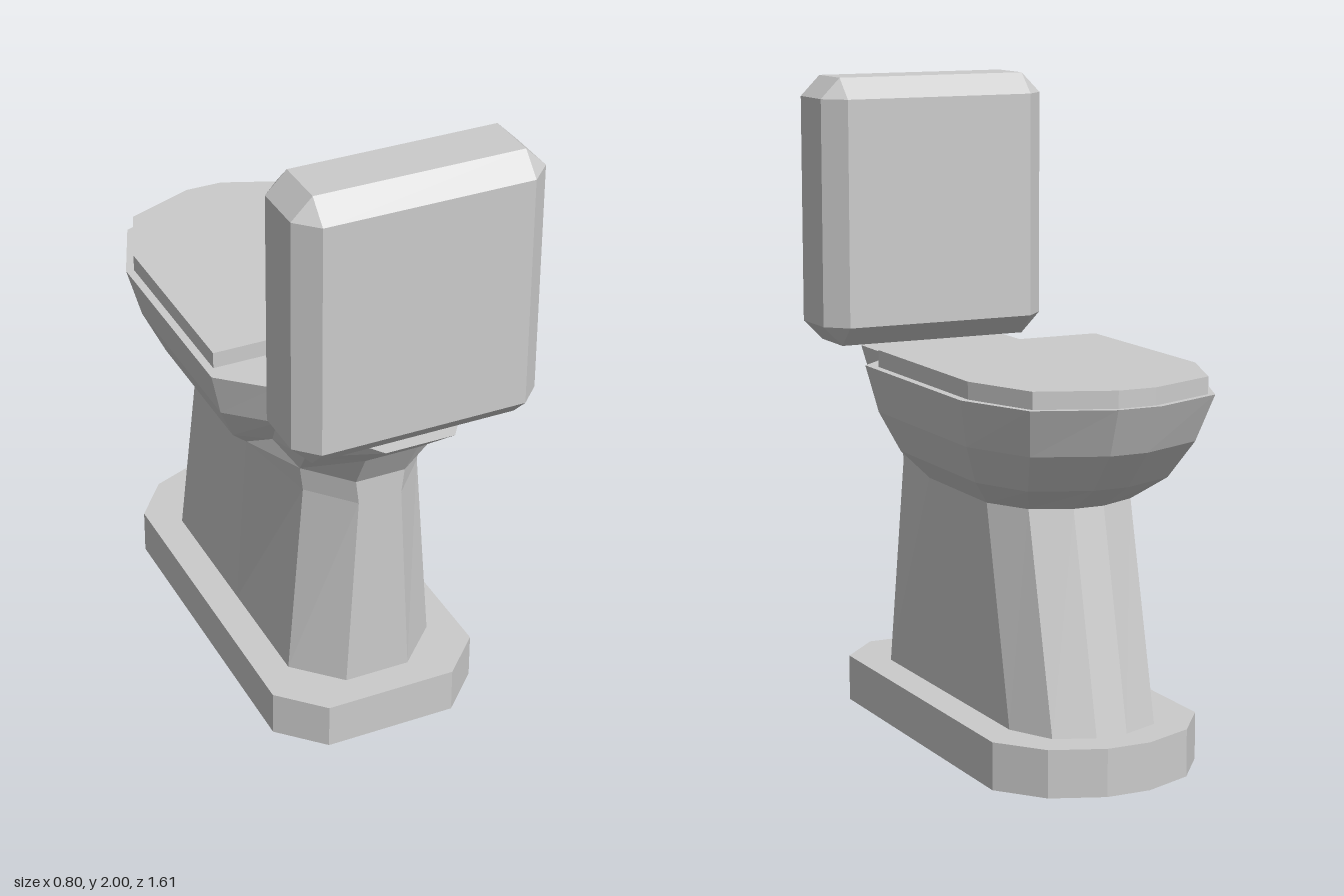
import * as THREE from 'three';

const material = new THREE.MeshStandardMaterial({ color: 0xcccccc, flatShading: true });

// Complete a half outline of [x, z] points (back to front) by mirroring it in x.
const mirror = (half) => [...half, ...half.map(([x, z]) => [-x, z]).reverse()];

// Closed solid through horizontal sections, each { y, half }, from bottom to top.
function loft(name, sections) {
  const rows = sections.map(({ y, half }) =>
    mirror(half).map(([x, z]) => new THREE.Vector3(x, y, z)));
  const positions = [];
  const triangle = (a, b, c) => {
    const area = b.clone().sub(a).cross(c.clone().sub(a)).length();
    if (area > 1e-7) for (const p of [a, b, c]) positions.push(p.x, p.y, p.z);
  };
  for (let r = 0; r < rows.length - 1; r++) {
    const low = rows[r], high = rows[r + 1], n = low.length;
    for (let i = 0; i < n; i++) {
      const j = (i + 1) % n;
      triangle(low[i], low[j], high[j]);
      triangle(low[i], high[j], high[i]);
    }
  }
  const cap = (row, up) => {
    const flat = row.map((p) => new THREE.Vector2(p.x, -p.z));
    for (const [a, b, c] of THREE.ShapeUtils.triangulateShape(flat, [])) {
      if (up) triangle(row[a], row[b], row[c]);
      else triangle(row[a], row[c], row[b]);
    }
  };
  cap(rows[0], false);
  cap(rows[rows.length - 1], true);
  const geometry = new THREE.BufferGeometry();
  geometry.setAttribute('position', new THREE.Float32BufferAttribute(positions, 3));
  geometry.computeVertexNormals();
  const mesh = new THREE.Mesh(geometry, material);
  mesh.name = name;
  return mesh;
}

// Straight-sided slab with one outline.
const slab = (name, y0, y1, half) => loft(name, [{ y: y0, half }, { y: y1, half }]);

export function createModel() {
  const group = new THREE.Group();
  group.name = 'toilet';

  // Foot plate
  group.add(slab('base', 0, 0.145,
    [[0.21, 0.63], [0.34, 0.5], [0.34, -0.55], [0.23, -0.69], [0.07, -0.755]]));

  // Pedestal flaring into the bowl, with a neck reaching back under the tank
  const pedestalTop = [[0.07, 0.53], [0.19, 0.395], [0.24, 0.09], [0.24, 0.09],
    [0.24, -0.31], [0.17, -0.445], [0.05, -0.5]];
  group.add(loft('pedestal', [
    { y: 0.145, half: [[0.105, 0.53], [0.24, 0.395], [0.24, 0], [0.24, 0],
      [0.24, -0.46], [0.17, -0.6], [0.05, -0.65]] },
    { y: 0.8, half: pedestalTop },
  ]));
  group.add(loft('bowl', [
    { y: 0.8, half: pedestalTop },
    { y: 0.88, half: [[0.08, 0.53], [0.2, 0.395], [0.21, 0.22], [0.31, 0.15],
      [0.31, -0.38], [0.23, -0.56], [0.055, -0.635]] },
    { y: 1.0, half: [[0.085, 0.6], [0.235, 0.51], [0.235, 0.31], [0.365, 0.19],
      [0.365, -0.435], [0.27, -0.65], [0.06, -0.74]] },
    { y: 1.145, half: [[0.11, 0.78], [0.255, 0.575], [0.255, 0.34], [0.4, 0.21],
      [0.4, -0.47], [0.3, -0.71], [0.07, -0.805]] },
  ]));

  // Closed lid and its hinge bar
  group.add(slab('lid', 1.145, 1.197,
    [[0.375, 0.165], [0.375, -0.465], [0.285, -0.695], [0.06, -0.787]]));
  const hinge = new THREE.Mesh(new THREE.BoxGeometry(0.32, 0.035, 0.04), material);
  hinge.name = 'hinge';
  hinge.position.set(0, 1.1625, 0.185);
  group.add(hinge);

  // Tank: a box with every edge chamfered
  const tankEnd = [[0.32, 0.74], [0.32, 0.74], [0.32, 0.575], [0.32, 0.575]];
  const tankSide = [[0.32, 0.805], [0.385, 0.74], [0.385, 0.575], [0.32, 0.51]];
  group.add(loft('tank', [
    { y: 1.147, half: tankEnd },
    { y: 1.212, half: tankSide },
    { y: 1.935, half: tankSide },
    { y: 2, half: tankEnd },
  ]));

  return group;
}
